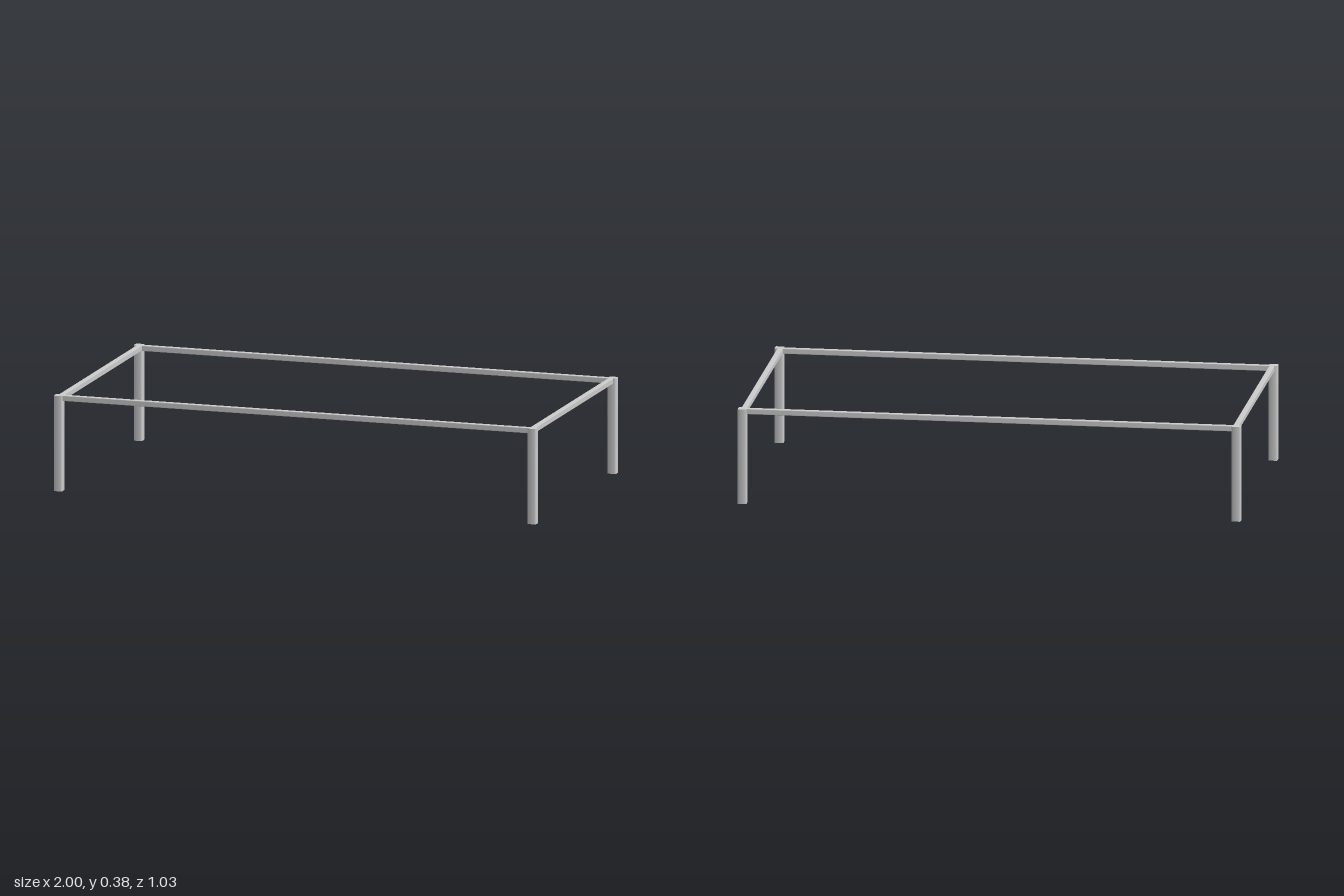
import * as THREE from 'three';
import { toCreasedNormals } from 'three/addons/utils/BufferGeometryUtils.js';

const LEG = 0.035, RAIL = 0.022, HEIGHT = 0.384;
const HALF_X = 1, HALF_Z = 0.517;

// Square bar with softened long edges, centred, running along z
function bar(size, length, radius) {
  const h = size / 2, k = h - radius;
  const shape = new THREE.Shape();
  shape.absarc(k, k, radius, 0, Math.PI / 2);
  shape.absarc(-k, k, radius, Math.PI / 2, Math.PI);
  shape.absarc(-k, -k, radius, Math.PI, Math.PI * 1.5);
  shape.absarc(k, -k, radius, Math.PI * 1.5, Math.PI * 2);
  shape.closePath();
  const geo = new THREE.ExtrudeGeometry(shape, { depth: length, bevelEnabled: false, curveSegments: 4 });
  geo.translate(0, 0, -length / 2);
  return toCreasedNormals(geo, Math.PI / 5);
}

export function createModel() {
  const group = new THREE.Group();
  const material = new THREE.MeshStandardMaterial({ color: 0xcccccc });
  const add = (name, geo, x, y, z) => {
    const mesh = new THREE.Mesh(geo, material);
    mesh.name = name;
    mesh.position.set(x, y, z);
    group.add(mesh);
  };

  const leg = bar(LEG, HEIGHT, 0.005).rotateX(-Math.PI / 2);
  const longRail = bar(RAIL, 2 * (HALF_X - LEG), 0.003).rotateY(Math.PI / 2);
  const shortRail = bar(RAIL, 2 * (HALF_Z - LEG), 0.003);

  // Rails sit level with the leg tops, close to the legs' inner faces
  const railY = HEIGHT - RAIL / 2;
  const inset = LEG - RAIL / 2 - 0.002;

  for (const s of [1, -1]) {
    const end = s > 0 ? 'front' : 'back';
    add(end + 'Rail', longRail, 0, railY, s * (HALF_Z - inset));
    add(s > 0 ? 'leftRail' : 'rightRail', shortRail, s * (HALF_X - inset), railY, 0);
    for (const side of [1, -1]) {
      add(end + (side > 0 ? 'LeftLeg' : 'RightLeg'), leg,
        side * (HALF_X - LEG / 2), HEIGHT / 2, s * (HALF_Z - LEG / 2));
    }
  }
  return group;
}
